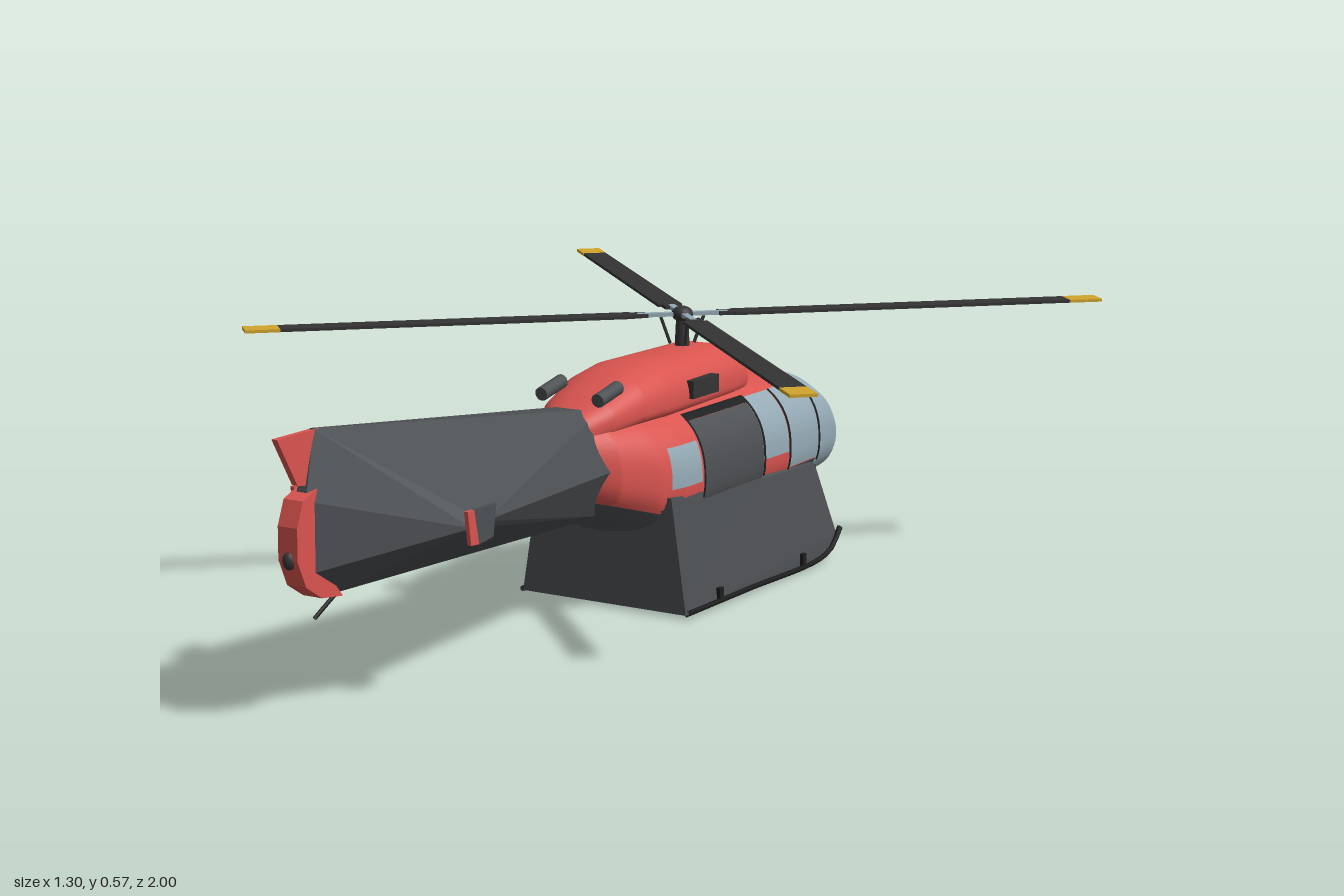
import * as THREE from 'three';
import { ConvexGeometry } from 'three/addons/geometries/ConvexGeometry.js';

const mat = (name, color, side = THREE.DoubleSide) => {
  const m = new THREE.MeshStandardMaterial({ color, side });
  m.name = name;
  return m;
};

// Cross-sections: z, half width, bottom, middle, top
const BODY = [
  [-0.907, 0.004, 0.21, 0.215, 0.22], [-0.9, 0.035, 0.188, 0.215, 0.238], [-0.885, 0.06, 0.172, 0.215, 0.258],
  [-0.85, 0.09, 0.152, 0.22, 0.294], [-0.78, 0.125, 0.143, 0.235, 0.34], [-0.71, 0.148, 0.143, 0.247, 0.374],
  [-0.64, 0.16, 0.143, 0.25, 0.39], [-0.5, 0.165, 0.143, 0.25, 0.398], [-0.1, 0.16, 0.143, 0.25, 0.4],
  [-0.03, 0.145, 0.157, 0.26, 0.4], [0.05, 0.11, 0.203, 0.285, 0.4], [0.12, 0.062, 0.25, 0.32, 0.388],
  [0.155, 0.018, 0.33, 0.355, 0.375],
];
const COWL = [
  [-0.55, 0.03, 0.36, 0.37, 0.4], [-0.5, 0.07, 0.36, 0.385, 0.445], [-0.46, 0.088, 0.36, 0.4, 0.468],
  [-0.4, 0.095, 0.36, 0.4, 0.48], [-0.13, 0.105, 0.36, 0.4, 0.482], [-0.05, 0.1, 0.36, 0.4, 0.47],
  [0.04, 0.083, 0.35, 0.39, 0.438], [0.12, 0.045, 0.34, 0.37, 0.4], [0.15, 0.02, 0.34, 0.36, 0.382],
];
const POWER = 2.4;

function section(table, z) {
  let i = 0;
  while (i < table.length - 2 && z > table[i + 1][0]) i++;
  const a = table[i], b = table[i + 1];
  const t = THREE.MathUtils.clamp((z - a[0]) / (b[0] - a[0]), 0, 1);
  return a.map((v, k) => v + (b[k] - v) * t);
}
const spow = (v, p) => Math.sign(v) * Math.abs(v) ** p;

// Angle around the section at which the skin reaches height y
function angleAt(table, z, y) {
  const [, , yb, ym, yt] = section(table, z);
  const s = THREE.MathUtils.clamp(y > ym ? (y - ym) / (yt - ym) : (y - ym) / (ym - yb), -1, 1);
  return Math.asin(spow(s, POWER / 2));
}
function skinPoint(table, z, a, lift) {
  const [, w, yb, ym, yt] = section(table, z);
  const c = spow(Math.cos(a), 2 / POWER), s = spow(Math.sin(a), 2 / POWER);
  return [c * (w + lift), ym + s * ((s > 0 ? yt - ym : ym - yb) + lift), z];
}

// Patch of skin between two z stations and two angle rules
function patch(table, z0, z1, from, to, lift = 0, nz = 12, na = 12) {
  const pos = [], idx = [];
  const stations = table.map((r) => r[0]).filter((z) => z > z0 + 0.001 && z < z1 - 0.001);
  for (let i = 0; i <= nz; i++) stations.push(z0 + ((z1 - z0) * i) / nz);
  stations.sort((a, b) => a - b);
  stations.forEach((z, i) => {
    for (let j = 0; j <= na; j++) {
      const a = from(z) + ((to(z) - from(z)) * j) / na;
      pos.push(...skinPoint(table, z, a, lift));
      if (i && j) {
        const d = i * (na + 1) + j, c = d - 1, b = d - na - 1, e = b - 1;
        idx.push(e, b, c, b, d, c);
      }
    }
  });
  const g = new THREE.BufferGeometry();
  g.setAttribute('position', new THREE.Float32BufferAttribute(pos, 3));
  g.setIndex(idx);
  g.computeVertexNormals();
  return g;
}

// Convex shell from points mirrored in x
function hull(points) {
  const all = [];
  for (const [x, y, z] of points) {
    all.push(new THREE.Vector3(x, y, z));
    if (x) all.push(new THREE.Vector3(-x, y, z));
  }
  return new ConvexGeometry(all);
}

// Upright plate drawn in z, y and given a thickness in x
function plate(points, thick) {
  const s = new THREE.Shape(points.map(([z, y]) => new THREE.Vector2(z, y)));
  return new THREE.ExtrudeGeometry(s, { depth: thick, bevelEnabled: false }).translate(0, 0, -thick / 2).rotateY(-Math.PI / 2);
}
function tube(points, r, n = 12) {
  return new THREE.TubeGeometry(new THREE.CatmullRomCurve3(points.map((p) => new THREE.Vector3(...p))), n, r, 6);
}

export function createModel() {
  const root = new THREE.Group();
  const red = mat('red paint', 0xd9544f);
  const grey = mat('dark grey', 0x4d5053);
  const glass = mat('pale blue glass', 0x94aab5);
  const black = mat('black trim', 0x1c1d1e);
  const blade = mat('blade charcoal', 0x343434);
  const yellow = mat('yellow tip', 0xd2a52c);
  const add = (name, geo, m, parent = root) => {
    const mesh = new THREE.Mesh(geo, m);
    mesh.name = name;
    parent.add(mesh);
    return mesh;
  };

  // Fuselage skin, split at the sill line
  const sill = (z) => angleAt(BODY, z, z < -0.64 ? Math.max(0.15, 0.2 + (z + 0.64) * 0.35) : z > -0.05 ? 0.2 + (z + 0.05) * 0.3 : 0.21);
  const over = (z) => Math.PI - sill(z);
  const under = (z) => -Math.PI - sill(z);
  add('cabin', patch(BODY, -0.64, 0.155, sill, over, 0, 24, 36), red);
  add('belly', patch(BODY, -0.885, 0.155, under, sill, 0, 30, 20), grey);
  add('windscreen', patch(BODY, -0.885, -0.64, sill, over, 0, 16, 36), glass);
  add('noseCap', patch(BODY, -0.907, -0.885, () => -Math.PI, () => Math.PI, 0.001, 4, 36), red);
  add('engineCowling', patch(COWL, -0.55, 0.15, () => -0.6, () => Math.PI + 0.6, 0, 24, 32), red);

  // Window frames wrapped over the skin
  add('windscreenFrame', patch(BODY, -0.645, -0.635, sill, over, 0.004, 1, 36), black);
  add('windscreenPillar', patch(BODY, -0.885, -0.64, () => 1.568, () => 1.573, 0.003, 12, 2), black);

  // Doors and side windows: name, z range, height range, material, lift
  const panels = [
    ['frontWindow', -0.635, -0.512, 0.215, 0.372, glass, 0.003],
    ['middleWindow', -0.503, -0.4, 0.25, 0.372, glass, 0.003],
    ['rearWindow', -0.16, -0.06, 0.25, 0.33, glass, 0.003],
    ['slidingDoor', -0.395, -0.165, 0.2, 0.362, grey, 0.006],
    ['doorRail', -0.4, -0.16, 0.362, 0.374, black, 0.007],
    ['doorPost', -0.512, -0.503, 0.21, 0.372, black, 0.004],
    ['doorFrontEdge', -0.402, -0.394, 0.22, 0.372, black, 0.007],
    ['doorRearEdge', -0.167, -0.16, 0.22, 0.372, black, 0.007],
  ];
  for (const [name, z0, z1, y0, y1, m, lift] of panels) {
    const lo = (z) => angleAt(BODY, z, y0), hi = (z) => angleAt(BODY, z, y1);
    add(name + 'Left', patch(BODY, z0, z1, lo, hi, lift, 6, 10), m);
    add(name + 'Right', patch(BODY, z0, z1, (z) => Math.PI - hi(z), (z) => Math.PI - lo(z), lift, 6, 10), m);
  }

  // Undercarriage shell and skids
  add('undercarriageShell', hull([
    [0.192, 0.003, -0.05], [0.192, 0.003, -0.6], [0.192, 0.02, -0.64], [0.19, 0.045, -0.672],
    [0.04, 0.125, -0.755], [0.156, 0.235, -0.052], [0.166, 0.212, -0.4], [0.163, 0.205, -0.62],
  ]), grey);
  for (const s of [1, -1]) {
    const side = s > 0 ? 'Left' : 'Right';
    add('skid' + side, tube([[0.194 * s, 0.006, -0.05], [0.194 * s, 0.006, -0.3], [0.194 * s, 0.006, -0.59],
      [0.194 * s, 0.022, -0.645], [0.194 * s, 0.058, -0.68]], 0.006, 24), black);
    for (const z of [-0.18, -0.52])
      add('skidClamp' + side, new THREE.BoxGeometry(0.012, 0.03, 0.015).translate(0.192 * s, 0.018, z), black);
    // Engine details
    add('exhaust' + side, new THREE.CylinderGeometry(0.014, 0.014, 0.075, 12).rotateX(Math.PI / 2 + 0.2)
      .translate(0.065 * s, 0.448, 0.037), grey);
    add('intake' + side, new THREE.BoxGeometry(0.03, 0.036, 0.1).translate(0.096 * s, 0.42, -0.26), blade);
  }
  add('searchlight', new THREE.SphereGeometry(0.021, 14, 10).translate(0, 0.105, -0.738), glass);

  // Tail boom shell with stabiliser and fin
  add('tailBoom', hull([
    [0.03, 0.41, 0.0], [0.085, 0.3, 0.02], [0.03, 0.195, 0.0], [0.188, 0.33, 0.64], [0.188, 0.325, 0.68],
    [0.004, 0.522, 0.895], [0.012, 0.4, 0.93], [0.016, 0.27, 0.925], [0.012, 0.22, 0.85],
  ]), grey);
  add('finTip', plate([[0.88, 0.52], [1.0, 0.52], [0.945, 0.43], [0.9, 0.42]], 0.012), red);
  add('tailRotorShroud', plate([[0.91, 0.42], [0.95, 0.405], [0.968, 0.36], [0.968, 0.3], [0.945, 0.25],
    [0.9, 0.222], [0.84, 0.214], [0.88, 0.26]], 0.042), red);
  add('tailRotorHub', new THREE.SphereGeometry(0.012, 12, 8).scale(1, 1.4, 1).translate(0, 0.3, 0.965), blade);
  add('tailBumper', tube([[0, 0.215, 0.83], [0, 0.2, 0.86], [0, 0.182, 0.895]], 0.004), black);
  for (const s of [1, -1]) {
    add('endPlate', plate([[0.615, 0.36], [0.685, 0.36], [0.67, 0.295], [0.625, 0.3]], 0.008).translate(0.192 * s, 0, 0), grey);
    add('endPlateTrim', plate([[0.685, 0.36], [0.705, 0.36], [0.695, 0.297], [0.67, 0.295]], 0.008).translate(0.192 * s, 0, 0), red);
  }

  // Main rotor
  const rotor = new THREE.Group();
  rotor.name = 'mainRotor';
  rotor.position.set(0, 0.545, -0.35);
  root.add(rotor);
  add('mast', new THREE.CylinderGeometry(0.012, 0.016, 0.09, 12).translate(0, -0.04, 0), blade, rotor);
  add('hub', new THREE.SphereGeometry(0.022, 16, 10).scale(1, 0.75, 1), blade, rotor);
  for (let i = 0; i < 4; i++) {
    const arm = new THREE.Group();
    arm.name = 'rotorArm';
    arm.rotation.y = Math.PI / 4 + (i * Math.PI) / 2;
    rotor.add(arm);
    add('bladeGrip', new THREE.BoxGeometry(0.085, 0.008, 0.014).translate(0.052, 0, 0), glass, arm);
    add('bladeRoot', new THREE.BoxGeometry(0.04, 0.007, 0.034).translate(0.095, 0, 0), blade, arm);
    add('blade', new THREE.BoxGeometry(0.72, 0.006, 0.05).translate(0.465, 0, 0), blade, arm);
    add('bladeTip', new THREE.BoxGeometry(0.07, 0.006, 0.052).translate(0.86, 0, 0), yellow, arm);
    add('pitchLink', tube([[0.025, -0.06, 0], [0.045, -0.005, 0]], 0.0035, 2), blade, arm);
  }
  return root;
}
